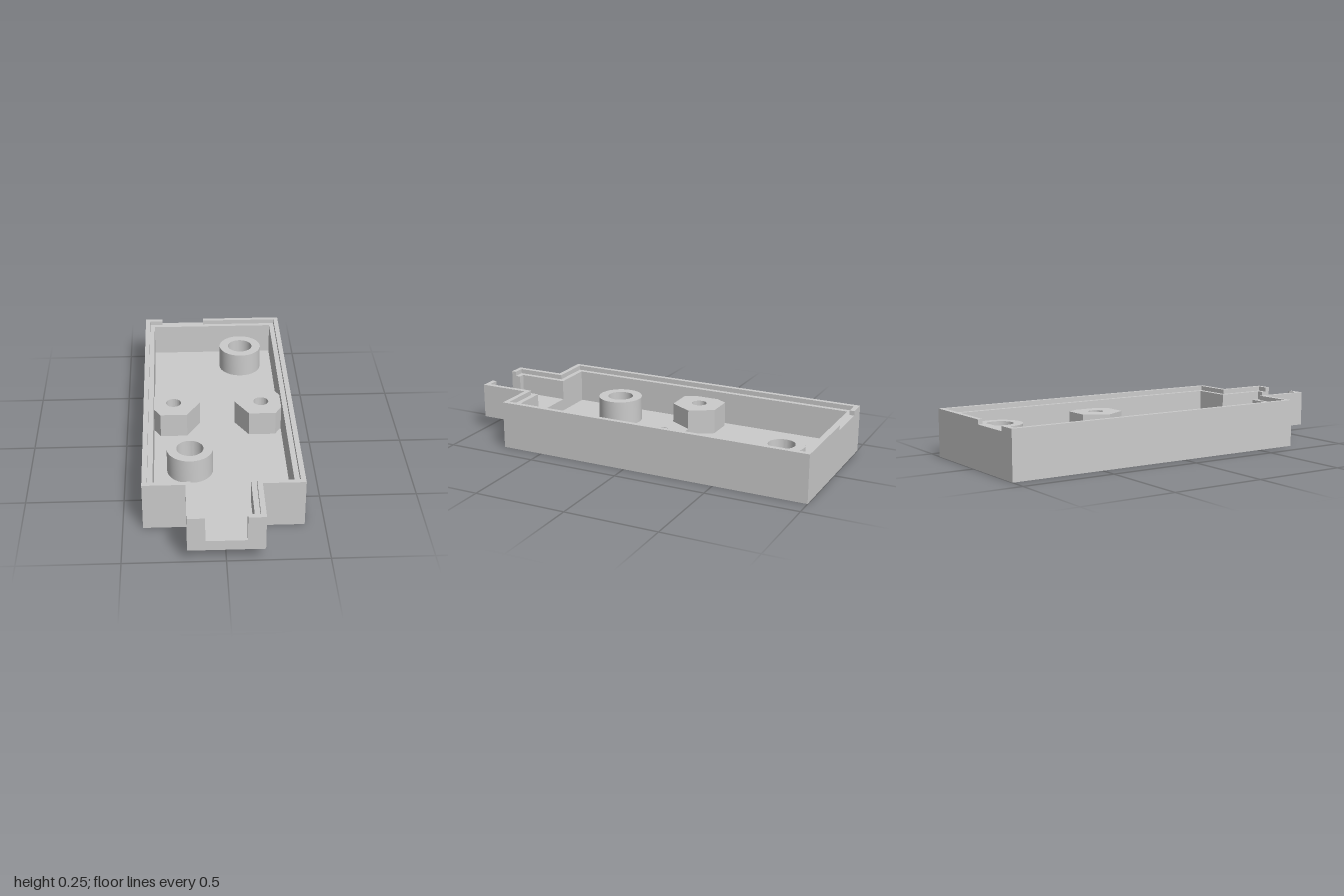
import * as THREE from 'three';
import { toCreasedNormals } from 'three/addons/utils/BufferGeometryUtils.js';

const material = new THREE.MeshStandardMaterial({ color: 0xcccccc });

// Heights of the layers
const FLOOR = 0.054, SPOUT_BASE = 0.068, SPOUT_FLOOR = 0.122, BOSS_TOP = 0.188, LEDGE = 0.23, TOP = 0.255;

// Plan outlines are given as [x, z] and drawn as (x, -z)
const outline = (pts, Kind = THREE.Shape) => new Kind(pts.map(([x, z]) => new THREE.Vector2(x, -z)));

const circle = (x, z, r, Kind = THREE.Path) => new Kind().absarc(x, -z, r, 0, Math.PI * 2, false);

const hexagon = (x, z, r, Kind = THREE.Path) => outline(
  Array.from({ length: 6 }, (_, i) => [x + r * Math.cos(i * Math.PI / 3), z - r * Math.sin(i * Math.PI / 3)]), Kind);

const rect = (x, z0, z1) => [[-x, z0], [-x, z1], [x, z1], [x, z0]];

// Raise a plan shape from y0 to y1
function slab(name, shape, y0, y1, holes = []) {
  shape.holes.push(...holes);
  const geo = new THREE.ExtrudeGeometry(shape, { depth: y1 - y0, bevelEnabled: false, curveSegments: 24 });
  geo.rotateX(-Math.PI / 2).translate(0, y0, 0);
  const mesh = new THREE.Mesh(toCreasedNormals(geo, 0.5), material);
  mesh.name = name;
  return mesh;
}

// Half a wall in plan, from the back (at xBack) round to the spout opening; t is its thickness
function halfWall(side, xBack, t) {
  const pts = [
    [xBack * side, -1], [0.4, -1], [0.4, 0.73], [0.187, 0.73], [0.187, 1], [0.1, 1],
    [0.1, 1 - t], [0.187 - t, 1 - t], [0.187 - t, 0.73 - t], [0.4 - t, 0.73 - t], [0.4 - t, -1 + t], [xBack * side, -1 + t],
  ];
  return pts.map(([x, z]) => [x * side, z]);
}

export function createModel() {
  const model = new THREE.Group();
  model.name = 'enclosureHalf';

  const screws = [[0.159, -0.77], [-0.159, 0.315]];
  const nuts = [[0.24, -0.135], [-0.24, -0.135]];
  const wall = 0.053, lip = 0.026;

  // Floor with through holes and hexagonal nut pockets
  model.add(slab('floor', outline(rect(0.4, -1, 0.73)), 0, FLOOR, [
    ...screws.map(([x, z]) => circle(x, z, 0.07)),
    ...nuts.map(([x, z]) => hexagon(x, z, 0.082)),
  ]));

  // Lower wall all round, below the spout floor
  model.add(slab('lowerWall', outline(rect(0.4, -1, 0.73)), FLOOR, SPOUT_FLOOR,
    [outline(rect(0.4 - wall, -1 + wall, 0.73 - wall), THREE.Path)]));

  // Raised floor of the spout
  model.add(slab('spoutFloor', outline(rect(0.187, 0.73, 1)), SPOUT_BASE, SPOUT_FLOOR));

  // Upper wall, then the thin lip with a notch at the back
  for (const [side, label, notchEdge] of [[1, 'left', -0.054], [-1, 'right', -0.3]]) {
    model.add(slab(label + 'UpperWall', outline(halfWall(side, 0, wall)), SPOUT_FLOOR, LEDGE));
    model.add(slab(label + 'Lip', outline(halfWall(side, notchEdge, lip)), LEDGE, TOP));
  }

  // Round screw bosses
  for (const [x, z] of screws) {
    model.add(slab('screwBoss', circle(x, z, 0.12, THREE.Shape), FLOOR, BOSS_TOP, [circle(x, z, 0.07)]));
  }

  // Hexagonal nut bosses, partly set into the side walls
  for (const [x, z] of nuts) {
    model.add(slab('nutBoss', hexagon(x, z, 0.144, THREE.Shape), FLOOR, BOSS_TOP, [circle(x, z, 0.041)]));
  }

  return model;
}
